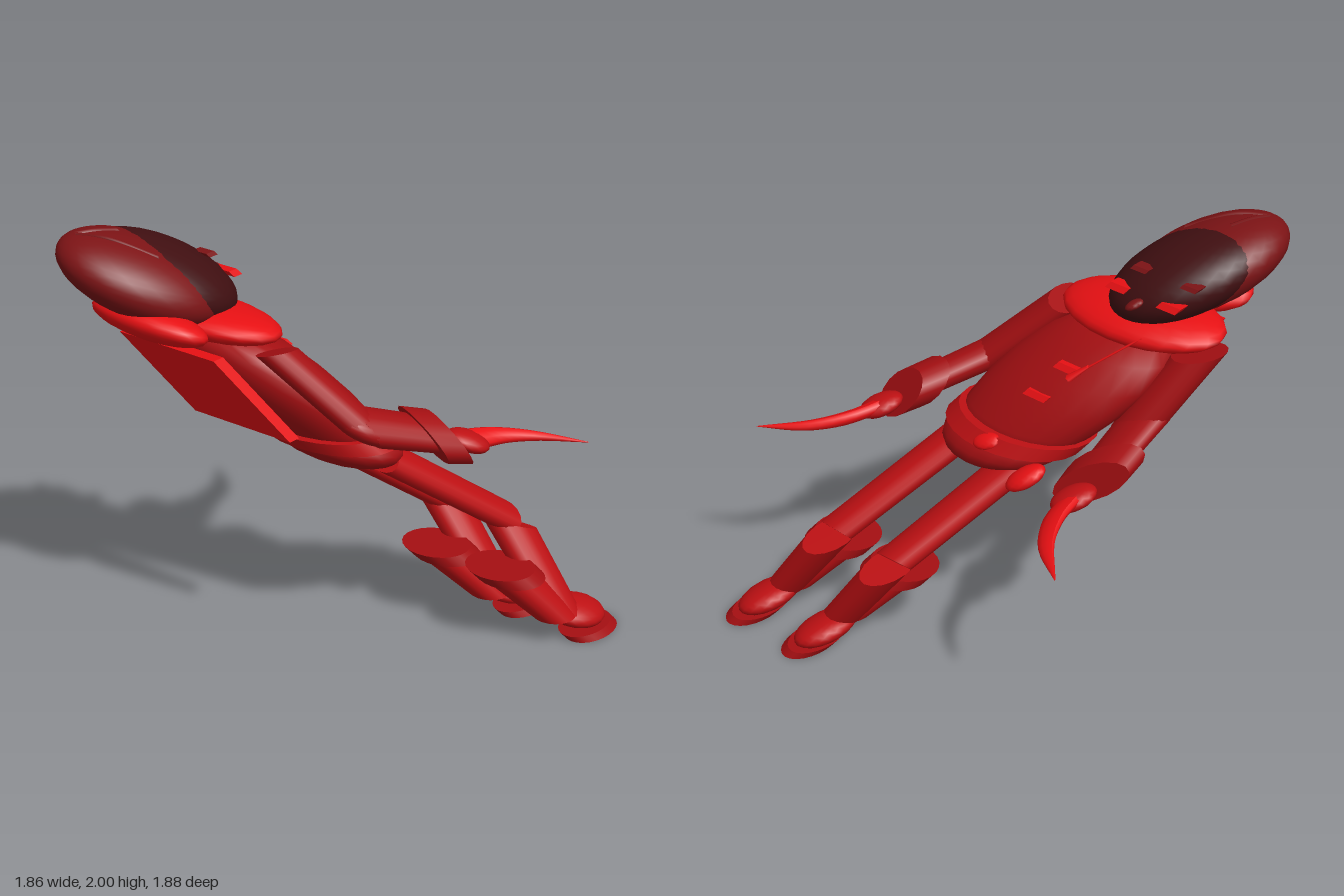
import * as THREE from 'three';

const mat = (name, color) => Object.assign(new THREE.MeshStandardMaterial({ color }), { name });

export function createModel() {
  const model = new THREE.Group();
  model.name = 'leaningFigure';
  const bright = mat('brightRed', 0xe81013);
  const suit = mat('suitRed', 0xbe1013);
  const coat = mat('coatRed', 0xa50f12);
  const hoodRed = mat('hoodRed', 0x7c1315);
  const dark = mat('faceDark', 0x400f11);

  // The figure is laid out upright facing +x, then every part leans by this shear
  const lean = new THREE.Matrix4().set(
    1, -0.68, 0, 0.69,
    0, 1, 0, 0,
    0, -0.72, 1, 0.66,
    0, 0, 0, 1);
  const V = (p) => new THREE.Vector3(...p);

  function add(name, geo, material) {
    geo.applyMatrix4(lean);
    const mesh = new THREE.Mesh(geo, material);
    mesh.name = name;
    model.add(mesh);
    return mesh;
  }
  function ball(name, [x, y, z], [rx, ry, rz], material, seg = 20) {
    const g = new THREE.SphereGeometry(1, seg, Math.round(seg * 0.7));
    add(name, g.scale(rx, ry, rz).translate(x, y, z), material);
  }
  // Tapered cylinder from a to b
  function limb(name, a, b, ra, rb, material, seg = 16) {
    const from = V(a), dir = V(b).sub(from), len = dir.length();
    const g = new THREE.CylinderGeometry(rb, ra, len, seg).translate(0, len / 2, 0);
    g.applyQuaternion(new THREE.Quaternion().setFromUnitVectors(new THREE.Vector3(0, 1, 0), dir.normalize()));
    add(name, g.translate(from.x, from.y, from.z), material);
  }
  function disc(name, [x, y, z], rx, rz, h, material) {
    add(name, new THREE.CylinderGeometry(1, 1, h, 24).scale(rx, 1, rz).translate(x, y, z), material);
  }
  function box(name, [x, y, z], [w, h, d], material) {
    add(name, new THREE.BoxGeometry(w, h, d).translate(x, y, z), material);
  }
  function cord(name, pts, r, material) {
    add(name, new THREE.TubeGeometry(new THREE.CatmullRomCurve3(pts.map(V)), 14, r, 6), material);
  }
  // Tube that narrows to a point
  function blade(name, pts, r, material) {
    const curve = new THREE.CatmullRomCurve3(pts.map(V));
    const n = 12, sides = 10;
    const g = new THREE.TubeGeometry(curve, n, r, sides);
    const pos = g.attributes.position, v = new THREE.Vector3();
    for (let i = 0; i < pos.count; i++) {
      const t = Math.floor(i / (sides + 1)) / n;
      const c = curve.getPointAt(t);
      v.fromBufferAttribute(pos, i).sub(c).multiplyScalar(1 - 0.97 * Math.pow(t, 1.4)).add(c);
      pos.setXYZ(i, v.x, v.y, v.z);
    }
    g.computeVertexNormals();
    add(name, g, material);
  }

  // Torso and hips
  const profile = [[0, 0.98], [0.29, 0.99], [0.33, 1.1], [0.355, 1.22], [0.35, 1.33], [0.31, 1.45], [0.22, 1.53], [0, 1.55]];
  const torso = new THREE.LatheGeometry(profile.map(([r, y]) => new THREE.Vector2(r, y)), 24);
  add('torso', torso.scale(0.62, 1, 1), coat);
  ball('hips', [0, 1.0, 0], [0.22, 0.13, 0.31], coat);
  disc('belt', [0, 1.05, 0], 0.24, 0.35, 0.06, suit);
  ball('buckle', [0.23, 1.05, 0], [0.03, 0.035, 0.06], bright, 12);
  ball('pouch', [0.17, 0.96, -0.29], [0.06, 0.06, 0.065], bright, 14);
  for (const y of [1.27, 1.4]) box('toggle', [0.215, y, 0.01], [0.025, 0.025, 0.12], bright);

  // Scarf, with the roll behind the neck
  ball('scarf', [0.01, 1.58, 0], [0.21, 0.085, 0.4], bright);
  ball('scarfRoll', [-0.25, 1.63, 0], [0.13, 0.09, 0.29], bright);
  cord('neckCord', [[0.2, 1.59, -0.13], [0.22, 1.5, -0.09], [0.23, 1.41, -0.05]], 0.007, bright);
  limb('cordTag', [0.23, 1.44, -0.06], [0.235, 1.38, -0.04], 0.01, 0.025, bright, 8);

  // Cape panel, flaring away from the back
  const cape = new THREE.BoxGeometry(0.06, 0.36, 0.54);
  cape.applyMatrix4(new THREE.Matrix4().set(1, 0.18, 0, -0.302, 0, 1, 0, 1.35, 0, 0, 1, 0, 0, 0, 0, 1));
  add('capePanel', cape, bright);

  // Head
  ball('hood', [-0.07, 1.785, 0], [0.3, 0.212, 0.275], hoodRed, 28);
  ball('face', [0.01, 1.775, 0.01], [0.28, 0.2, 0.265], dark, 28);
  cord('hoodSeam', [[-0.13, 1.99, -0.02], [-0.05, 1.992, 0.02], [0.03, 1.98, 0.05]], 0.012, hoodRed);
  cord('hoodSeam', [[-0.13, 1.99, -0.02], [-0.07, 1.978, 0.11], [-0.01, 1.905, 0.22]], 0.012, hoodRed);
  for (const s of [1, -1]) {
    box('eye', [0.255, 1.755, 0.02 + s * 0.135], [0.05, 0.025, 0.1], bright);
    box('brow', [0.25, 1.84, 0.02 + s * 0.13], [0.05, 0.016, 0.08], hoodRed);
  }
  ball('nose', [0.29, 1.73, 0.02], [0.035, 0.025, 0.03], hoodRed, 12);

  // Arms and legs, mirrored across the body
  for (const s of [1, -1]) {
    const p = (x, y, z) => [x, y, s * z];
    limb('upperArm', p(-0.03, 1.51, 0.36), p(-0.06, 1.18, 0.44), 0.1, 0.1, coat);
    ball('elbow', p(-0.06, 1.19, 0.44), [0.1, 0.09, 0.1], coat);
    limb('forearm', p(-0.06, 1.19, 0.44), p(0.2, 1.08, 0.54), 0.1, 0.09, coat);
    limb('cuff', p(0.13, 1.1, 0.515), p(0.22, 1.07, 0.55), 0.13, 0.125, coat);
    ball('hand', p(0.28, 1.03, 0.56), [0.085, 0.055, 0.08], suit, 16);
    blade('curvedBlade', [p(0.3, 1.03, 0.56), p(0.43, 1.015, 0.6), p(0.55, 0.995, 0.69), p(0.67, 0.97, 0.87)], 0.045, bright);

    limb('thigh', p(0.02, 0.94, 0.17), p(0.27, 0.53, 0.18), 0.105, 0.1, suit);
    limb('shin', p(0.26, 0.5, 0.18), p(0.03, 0.12, 0.18), 0.1, 0.09, suit);
    limb('bootShaft', p(-0.01, 0.12, 0.18), p(-0.01, 0.35, 0.18), 0.1, 0.13, suit, 20);
    disc('bootCuff', p(-0.01, 0.355, 0.18), 0.145, 0.165, 0.05, coat);
    ball('boot', p(0.11, 0.09, 0.185), [0.145, 0.07, 0.105], suit, 18);
    disc('sole', p(0.085, 0.016, 0.185), 0.16, 0.1, 0.032, coat);
  }
  return model;
}
